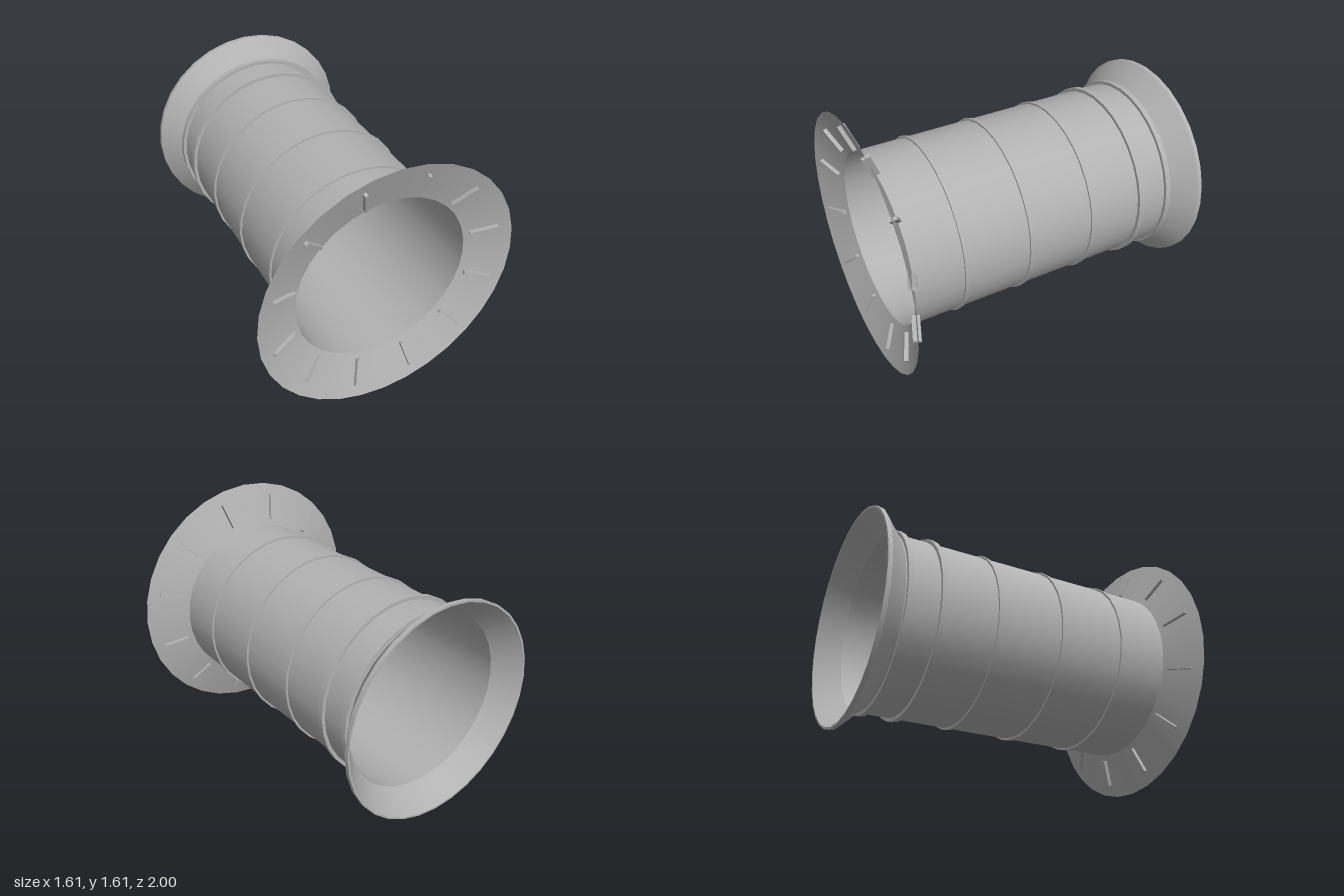
import * as THREE from 'three';
import { mergeGeometries } from 'three/addons/utils/BufferGeometryUtils.js';

const SIDES = 32;
const CENTRE_Y = 0.807;
const TUBE_R = 0.541;

export function createModel() {
  const model = new THREE.Group();
  const grey = new THREE.MeshStandardMaterial({ color: 0xb2b2b2, side: THREE.DoubleSide });
  grey.name = 'grey metal';

  const body = new THREE.Group();
  body.name = 'spool';
  body.position.y = CENTRE_Y;
  model.add(body);

  const add = (name, geometry) => {
    const mesh = new THREE.Mesh(geometry, grey);
    mesh.name = name;
    body.add(mesh);
    return mesh;
  };

  // Revolves [radius, z] points around z, with a sharp edge at every point
  const revolve = (points) => {
    const bands = [];
    for (let i = 0; i < points.length - 1; i++) {
      const pair = [points[i], points[i + 1]].map(([r, z]) => new THREE.Vector2(r, z));
      bands.push(new THREE.LatheGeometry(pair, SIDES));
    }
    return mergeGeometries(bands).rotateX(Math.PI / 2);
  };

  // Open tube
  add('tube', revolve([[TUBE_R, -0.85], [TUBE_R, 0.9]]));

  // Shallow front flange and steeper rear funnel with a short lip
  add('frontFlange', revolve([[TUBE_R, 0.9], [0.805, 1]]));
  add('rearFunnel', revolve([[0.667, -1], [0.667, -0.974], [TUBE_R, -0.848]]));
  add('rearFunnelInside', revolve([[0.667, -1], [0.655, -1], [TUBE_R, -0.855]]));

  // Raised bands: [z, width, radius]
  const bands = [
    [0.582, 0.022, 0.553], [0.158, 0.022, 0.553], [-0.267, 0.022, 0.553],
    [-0.621, 0.034, 0.562], [-0.824, 0.034, 0.562],
  ];
  for (const [z, w, r] of bands) {
    add('band', revolve([[TUBE_R, z - w / 2], [r, z - w / 2], [r, z + w / 2], [TUBE_R, z + w / 2]]));
  }

  // Twelve ribs piercing the front flange, tilted along its slope
  const slope = Math.atan2(0.1, 0.805 - TUBE_R);
  for (let i = 0; i < 12; i++) {
    const rib = new THREE.BoxGeometry(0.166, 0.018, 0.048);
    rib.rotateY(-slope).translate(0.653, 0, 0.944).rotateZ(((i + 0.5) * Math.PI) / 6);
    add('flangeRib', rib);
  }
  return model;
}
